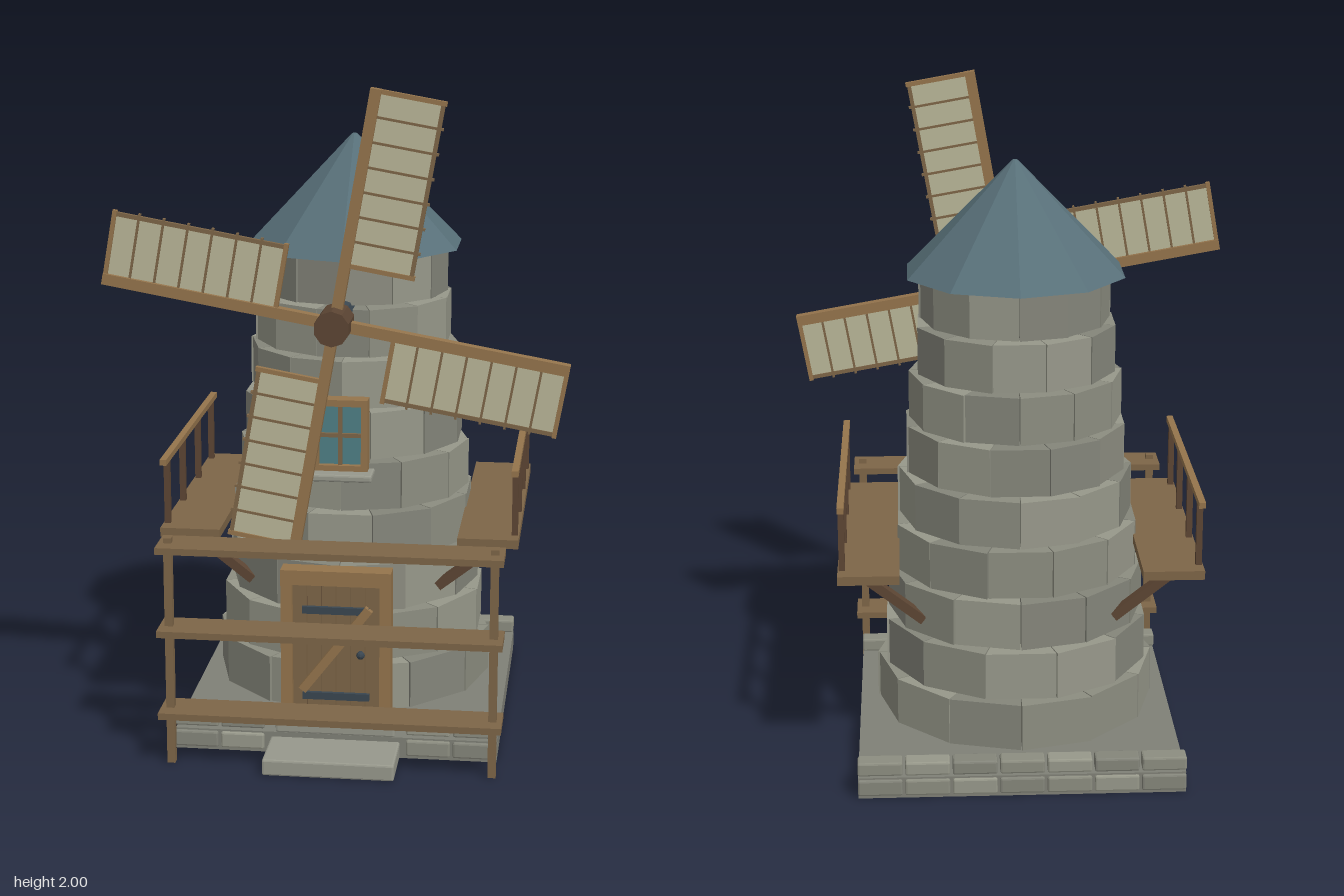
import * as THREE from 'three';
import { RoundedBoxGeometry } from 'three/addons/geometries/RoundedBoxGeometry.js';

const mat = (color, extra = {}) => new THREE.MeshStandardMaterial({ color, flatShading: true, ...extra });
const M = {
  stone: [mat(0x8c8d80), mat(0x84857a), mat(0x97988a)],
  slab: mat(0x7f8076), step: mat(0x97988c),
  wood: mat(0x7d6547), light: mat(0x94744c), dark: mat(0x5c4533),
  roof: mat(0x587079), iron: mat(0x3a4650), glass: mat(0x4f7f86),
  cloth: mat(0xb9b698),
};
const TOWER_Z = -0.085;

function add(parent, name, geo, material, x = 0, y = 0, z = 0) {
  const m = new THREE.Mesh(geo, material);
  m.name = name;
  m.position.set(x, y, z);
  parent.add(m);
  return m;
}
// Box given by its size and centre
const box = (p, name, material, [w, h, d], [x, y, z]) =>
  add(p, name, new THREE.BoxGeometry(w, h, d), material, x, y, z);
const block = (p, name, material, [w, h, d], [x, y, z]) =>
  add(p, name, new RoundedBoxGeometry(w, h, d, 1, 0.006), material, x, y, z);

function group(parent, name) {
  const g = new THREE.Group();
  g.name = name;
  parent.add(g);
  return g;
}

// Square beam in the xy plane between two points
function beam(p, name, material, [x0, y0], [x1, y1], z, w, d) {
  const len = Math.hypot(x1 - x0, y1 - y0);
  const m = box(p, name, material, [len, w, d], [(x0 + x1) / 2, (y0 + y1) / 2, z]);
  m.rotation.z = Math.atan2(y1 - y0, x1 - x0);
  return m;
}

function buildBase(root) {
  const g = group(root, 'base');
  box(g, 'slab', M.slab, [0.97, 0.065, 0.98], [0, 0.0325, -0.085]);
  block(g, 'doorStep', M.step, [0.39, 0.05, 0.24], [0, 0.025, 0.465]);
  block(g, 'upperStep', M.step, [0.36, 0.03, 0.12], [0, 0.08, 0.35]);
  for (let i = 0; i < 7; i++) {
    const x = (i - 3) * 0.14;
    block(g, 'rimStone', M.stone[i % 3], [0.132, 0.042, 0.06], [x, 0.095, -0.555]);
    block(g, 'edgeStone', M.stone[(i + 1) % 3], [0.132, 0.05, 0.04], [x, 0.035, -0.565]);
    if (Math.abs(i - 3) < 2) continue;
    block(g, 'rimStone', M.stone[i % 3], [0.132, 0.042, 0.06], [x, 0.095, 0.38]);
    block(g, 'edgeStone', M.stone[(i + 1) % 3], [0.132, 0.05, 0.04], [x, 0.035, 0.396]);
  }
}

// One wedge-shaped stone, its outer face centred on +x
function wedge(r, depth, h) {
  const a = Math.PI / 12 - 0.004;
  const pt = (q, s) => new THREE.Vector2(q * Math.cos(a), s * q * Math.sin(a));
  const shape = new THREE.Shape([pt(r - depth, -1), pt(r, -1), pt(r, 1), pt(r - depth, 1)]);
  return new THREE.ExtrudeGeometry(shape, { depth: h, bevelEnabled: false }).rotateX(-Math.PI / 2);
}

// Nine staggered courses of twelve stones under a ten-sided roof
function buildTower(root) {
  const g = group(root, 'tower');
  g.position.z = TOWER_Z;
  for (let c = 0; c < 9; c++) {
    const r = 0.425 - c * 0.0175;
    const course = group(g, 'stoneCourse');
    course.position.y = 0.115 + c * 0.1525;
    for (let i = 0; i < 12; i++) {
      const jut = ((i * 5 + c * 3) % 4) * 0.002 - 0.003;
      const s = add(course, 'stone', wedge(r + jut, 0.08, 0.143), M.stone[(i * 2 + c * 5 + (i >> 2)) % 3]);
      s.rotation.y = (i + (c % 2 ? 0 : 0.5)) * Math.PI / 6;
    }
  }
  add(g, 'roof', new THREE.CylinderGeometry(0.008, 0.337, 0.335, 10), M.roof, 0, 1.6425, 0);
}

function buildDoor(root) {
  const g = group(root, 'door');
  for (const s of [-1, 1]) box(g, 'doorJamb', M.light, [0.034, 0.49, 0.06], [s * 0.148, 0.325, 0.36]);
  box(g, 'doorHeader', M.light, [0.33, 0.045, 0.062], [0, 0.55, 0.36]);
  for (let i = 0; i < 6; i++)
    box(g, 'doorPlank', M.wood, [0.041, 0.43, 0.035], [(i - 2.5) * 0.0437, 0.315, 0.36]);
  box(g, 'doorBacking', M.dark, [0.27, 0.43, 0.03], [0, 0.315, 0.345]);
  for (const y of [0.45, 0.18]) box(g, 'hingeStrap', M.iron, [0.2, 0.022, 0.012], [0, y, 0.384]);
  beam(g, 'doorBrace', M.light, [-0.1, 0.2], [0.1, 0.46], 0.39, 0.026, 0.02);
  add(g, 'doorKnob', new THREE.SphereGeometry(0.013, 8, 6), M.iron, 0.075, 0.315, 0.39);
}

function buildWindow(root) {
  const g = group(root, 'window');
  box(g, 'glass', M.glass, [0.14, 0.19, 0.02], [0, 0.96, 0.258]);
  for (const s of [-1, 1]) {
    box(g, 'windowSide', M.light, [0.02, 0.22, 0.05], [s * 0.073, 0.96, 0.262]);
    box(g, 'windowRail', M.light, [0.166, 0.02, 0.052], [0, 0.96 + s * 0.1, 0.262]);
  }
  box(g, 'mullion', M.wood, [0.012, 0.19, 0.018], [0, 0.96, 0.27]);
  box(g, 'crossbar', M.wood, [0.13, 0.012, 0.018], [0, 0.96, 0.27]);
  block(g, 'windowSill', M.step, [0.2, 0.022, 0.1], [0, 0.842, 0.283]);
}

// Side balcony; side is +1 or -1
function buildBalcony(root, side) {
  const g = group(root, side > 0 ? 'leftBalcony' : 'rightBalcony');
  box(g, 'platform', M.wood, [0.18, 0.027, 0.845], [side * 0.445, 0.66, TOWER_Z]);
  box(g, 'handrail', M.light, [0.02, 0.018, 0.85], [side * 0.522, 0.876, TOWER_Z]);
  for (const z of [0.28, 0.04, -0.215, -0.45])
    box(g, 'railPost', M.dark, [0.018, 0.2, 0.018], [side * 0.522, 0.77, z]);
  for (const z of [0.155, -0.325])
    beam(g, 'strut', M.dark, [side * 0.52, 0.65], [side * 0.285, 0.465], z, 0.028, 0.034);
}

function buildFence(root) {
  const g = group(root, 'frontFence');
  for (const s of [-1, 1]) box(g, 'fencePost', M.wood, [0.024, 0.7, 0.024], [s * 0.477, 0.35, 0.51]);
  for (const y of [0.165, 0.42, 0.675]) box(g, 'fenceBoard', M.wood, [1.01, 0.02, 0.128], [0, y, 0.507]);
}

// One sail pointing up from the hub, its cloth on the +x side
function buildSail(parent) {
  const g = group(parent, 'sail');
  box(g, 'spar', M.light, [0.032, 0.685, 0.034], [0, 0.3425, 0]);
  box(g, 'cloth', M.cloth, [0.175, 0.5, 0.006], [0.103, 0.427, 0]);
  box(g, 'outerEdge', M.wood, [0.012, 0.512, 0.014], [0.193, 0.427, 0]);
  for (const y of [0.175, 0.679]) box(g, 'endBar', M.light, [0.2, 0.013, 0.018], [0.103, y, 0]);
  for (let i = 1; i < 7; i++) box(g, 'rib', M.wood, [0.2, 0.007, 0.015], [0.106, 0.175 + i * 0.072, 0]);
  return g;
}

function buildWheel(root) {
  const g = group(root, 'sailWheel');
  g.position.set(0, 1.323, 0.397);
  const hub = new THREE.CylinderGeometry(0.052, 0.052, 0.135, 10).rotateX(Math.PI / 2);
  add(g, 'hub', hub, M.dark, 0, 0, 0.01);
  const shaft = new THREE.CylinderGeometry(0.03, 0.03, 0.26, 8).rotateX(Math.PI / 2);
  add(g, 'shaft', shaft, M.iron, 0, 0, -0.17);
  for (let i = 0; i < 4; i++) buildSail(g).rotation.z = -THREE.MathUtils.degToRad(10 + i * 90);
}

export function createModel() {
  const root = new THREE.Group();
  root.name = 'windmill';
  buildBase(root);
  buildTower(root);
  buildDoor(root);
  buildWindow(root);
  for (const side of [1, -1]) buildBalcony(root, side);
  buildFence(root);
  buildWheel(root);
  return root;
}
